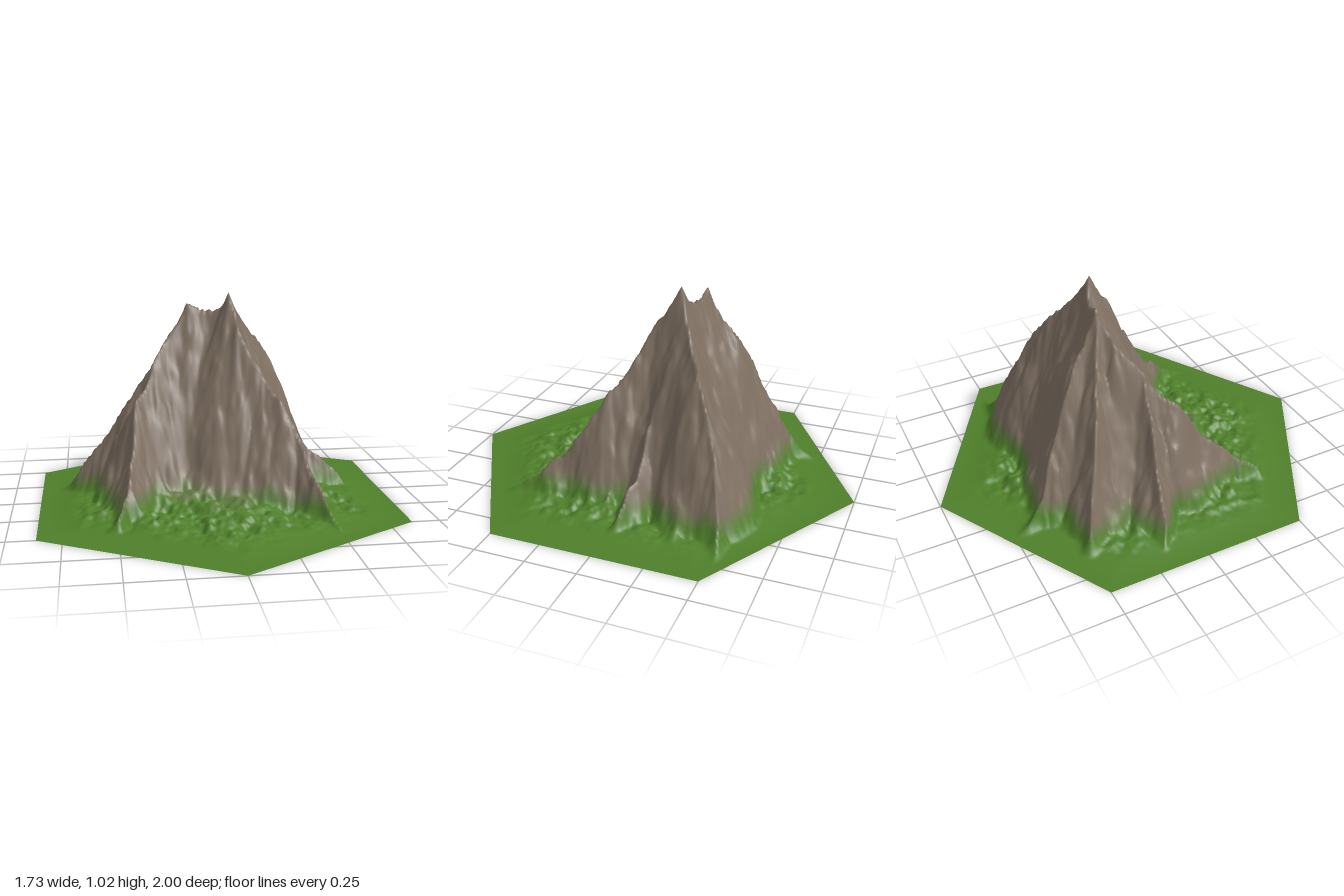
import * as THREE from 'three';

const N = 105; // grid cells from the centre to each corner of the hexagon
const COS30 = Math.sqrt(3) / 2;

// Ridge lines running down from the twin summit, as [x, y, z]
const RIDGES = [
  // summit crest
  [[-0.1, 0.95, -0.2], [-0.03, 0.93, -0.19], [0.03, 0.93, -0.16], [0.08, 1.0, -0.13]],
  // front left-hand spur (+x)
  [[0.08, 1.0, -0.13], [0.13, 0.86, -0.05], [0.24, 0.64, 0.08], [0.31, 0.54, 0.15], [0.37, 0.36, 0.22], [0.41, 0.24, 0.32], [0.46, 0.12, 0.45], [0.5, 0.03, 0.58]],
  // back left-hand spur
  [[0.08, 1.0, -0.13], [0.15, 0.91, -0.17], [0.21, 0.81, -0.22], [0.3, 0.71, -0.3], [0.37, 0.55, -0.38], [0.46, 0.35, -0.43], [0.57, 0.15, -0.48], [0.72, 0.03, -0.52]],
  // low side spur
  [[0.08, 0.95, -0.13], [0.25, 0.6, -0.1], [0.43, 0.29, -0.08], [0.65, 0.08, -0.04]],
  // front right-hand spur (-x)
  [[-0.1, 0.95, -0.2], [-0.2, 0.82, -0.15], [-0.29, 0.67, -0.06], [-0.34, 0.57, 0.0], [-0.39, 0.53, 0.06], [-0.41, 0.33, 0.2], [-0.45, 0.2, 0.34], [-0.52, 0.07, 0.48]],
  // right-hand side spur
  [[-0.29, 0.67, -0.06], [-0.4, 0.52, -0.07], [-0.5, 0.38, -0.1], [-0.6, 0.22, -0.13], [-0.75, 0.03, -0.16]],
  // back right-hand spurs
  [[-0.1, 0.95, -0.2], [-0.24, 0.73, -0.25], [-0.42, 0.4, -0.36], [-0.6, 0.11, -0.46]],
  [[-0.1, 0.95, -0.2], [-0.13, 0.78, -0.3], [-0.2, 0.57, -0.4], [-0.26, 0.36, -0.5], [-0.32, 0.15, -0.6], [-0.36, 0.03, -0.72]],
];

// Smooth seeded value noise in -1..1
function hash(i, j) {
  let n = Math.imul(i, 374761393) + Math.imul(j, 668265263) + 1274126177;
  n = Math.imul(n ^ (n >>> 13), 1274126177);
  return ((n ^ (n >>> 16)) >>> 0) / 2147483648 - 1;
}
function noise(x, y) {
  const i = Math.floor(x), j = Math.floor(y);
  const u = THREE.MathUtils.smootherstep(x - i, 0, 1);
  const v = THREE.MathUtils.smootherstep(y - j, 0, 1);
  const lerp = THREE.MathUtils.lerp;
  return lerp(lerp(hash(i, j), hash(i + 1, j), u), lerp(hash(i, j + 1), hash(i + 1, j + 1), u), v);
}
const fbm = (x, y) => noise(x, y) + 0.5 * noise(2 * x + 17, 2 * y + 5) + 0.25 * noise(4 * x + 3, 4 * y + 31);

// Height of one ridge: the crest line with flanks falling away at a steady slope
function ridgeHeight(points, x, z) {
  let best = -9;
  for (let i = 0; i + 1 < points.length; i++) {
    const [ax, ay, az] = points[i], [bx, by, bz] = points[i + 1];
    const dx = bx - ax, dz = bz - az;
    const t = THREE.MathUtils.clamp(((x - ax) * dx + (z - az) * dz) / (dx * dx + dz * dz), 0, 1);
    const d = Math.hypot(x - ax - t * dx, z - az - t * dz);
    best = Math.max(best, ay + t * (by - ay) - 2.35 * d);
  }
  return best;
}

function height(x, z, edge) {
  // Wobble the crests, then blend all ridges with a soft maximum
  const wx = x + 0.014 * fbm(x * 8, z * 8), wz = z + 0.014 * fbm(x * 8 + 40, z * 8 + 9);
  const soft = 0.012;
  let sum = 0;
  for (const ridge of RIDGES) sum += Math.exp(ridgeHeight(ridge, wx, wz) / soft);
  sum += Math.exp((0.13 - 0.19 * Math.hypot(x, z)) / soft); // gentle apron at the foot
  let h = soft * Math.log(sum);
  h = 0.035 * Math.log(1 + Math.exp(h / 0.035)); // ease the flanks into the ground

  // Rough rock above, small hummocks below
  const rocky = THREE.MathUtils.smoothstep(h, 0.1, 0.35);
  h += rocky * (0.012 * fbm(x * 11 + 7, z * 11) + 0.004 * noise(x * 38, z * 38));
  const foot = (1 - rocky) * THREE.MathUtils.smoothstep(1 - edge, 0.12, 0.4);
  h += foot * (0.02 * fbm(x * 13, z * 13 + 50) + 0.012 * noise(x * 30 + 8, z * 30));
  return Math.max(0, h) * THREE.MathUtils.smoothstep(1 - edge, 0, 0.24);
}

export function createModel() {
  const group = new THREE.Group();
  group.name = 'mountainTile';

  // Triangular grid over a hexagon with corners on the z axis
  const positions = [], ids = new Map();
  const key = (q, r) => q * 1000 + r;
  for (let q = -N; q <= N; q++) {
    for (let r = Math.max(-N, q - N); r <= Math.min(N, q + N); r++) {
      const x = COS30 * (q - r) / N, z = 0.5 * (q + r) / N;
      const edge = Math.max(Math.abs(q), Math.abs(r), Math.abs(q - r)) / N;
      ids.set(key(q, r), positions.length / 3);
      positions.push(x, height(x, z, edge), z);
    }
  }

  const triangles = [];
  const addTriangle = (...corners) => {
    const t = corners.map(([q, r]) => ids.get(key(q, r)));
    if (t.every((i) => i !== undefined)) triangles.push(t);
  };
  for (let q = -N; q <= N; q++) {
    for (let r = -N; r <= N; r++) {
      addTriangle([q, r], [q + 1, r + 1], [q + 1, r]);
      addTriangle([q, r], [q, r + 1], [q + 1, r + 1]);
    }
  }

  const surface = new THREE.BufferGeometry();
  surface.setAttribute('position', new THREE.Float32BufferAttribute(positions, 3));
  surface.setIndex(triangles.flat());
  surface.computeVertexNormals();

  // Split the surface into bands that shade from grass into bare rock
  const names = ['grass', 'thinGrass', 'grassyScree', 'scree', 'rockFoot', 'rock'];
  const bands = names.map(() => []);
  for (const t of triangles) {
    const [x, y, z] = [0, 1, 2].map((c) => (positions[3 * t[0] + c] + positions[3 * t[1] + c] + positions[3 * t[2] + c]) / 3);
    const mix = THREE.MathUtils.smoothstep(y + 0.022 * fbm(x * 9, z * 9 + 20), 0.045, 0.17);
    bands[Math.round(mix * (names.length - 1))].push(...t);
  }
  const grass = new THREE.Color(0x4f7f2a), rock = new THREE.Color(0x7f7062);
  names.forEach((name, i) => {
    const geometry = new THREE.BufferGeometry();
    geometry.setAttribute('position', surface.getAttribute('position'));
    geometry.setAttribute('normal', surface.getAttribute('normal'));
    geometry.setIndex(bands[i]);
    const color = grass.clone().lerp(rock, i / (names.length - 1));
    const mesh = new THREE.Mesh(geometry, new THREE.MeshStandardMaterial({ color, side: THREE.DoubleSide }));
    mesh.name = name;
    group.add(mesh);
  });
  return group;
}
